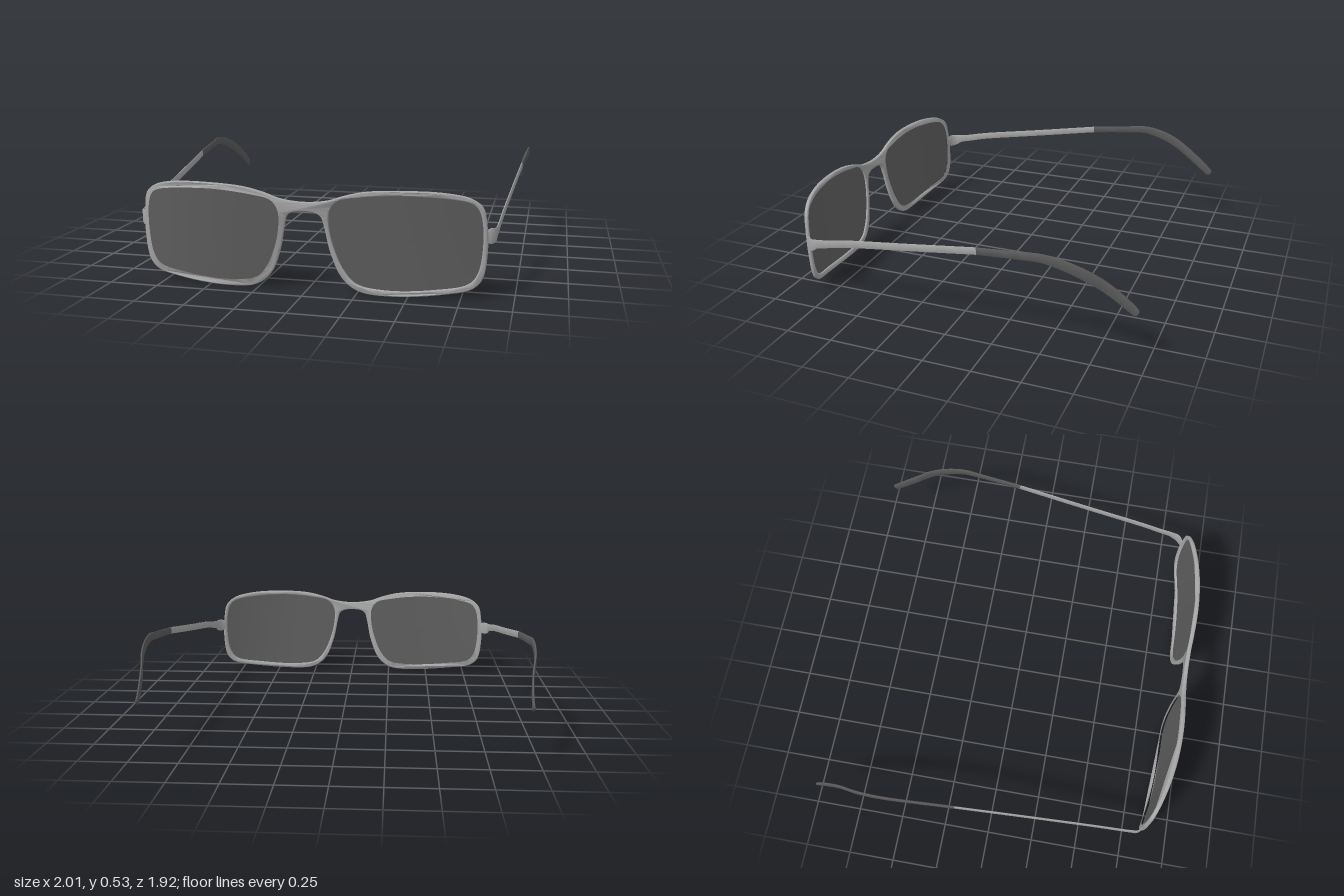
import * as THREE from 'three';
import { toCreasedNormals } from 'three/addons/utils/BufferGeometryUtils.js';

const mat = (name, color, side = THREE.FrontSide) => {
  const m = new THREE.MeshStandardMaterial({ color, side });
  m.name = name;
  return m;
};

// Right half of the frame outline, from top of bridge round to underside of bridge
const HALF = [[0, .455], [.12, .468], [.2, .495], [.31, .52], [.51, .53], [.68, .521], [.79, .495],
  [.845, .45], [.863, .37], [.87, .26], [.848, .1], [.8, .052], [.68, .026], [.42, .003], [.26, .018],
  [.18, .08], [.125, .21], [.1, .33], [.083, .385], [.05, .404], [0, .408]];
const LENS = [[.82, .447], [.785, .475], [.5, .506], [.26, .488], [.16, .463], [.124, .41], [.124, .315],
  [.15, .21], [.19, .12], [.25, .055], [.39, .032], [.63, .047], [.785, .078], [.826, .13], [.847, .26], [.84, .395]];

const smoothLoop = (pts, n) =>
  new THREE.CatmullRomCurve3(pts.map(([x, y]) => new THREE.Vector3(x, y, 0)), true, 'centripetal')
    .getPoints(n).slice(0, n).map(p => new THREE.Vector2(p.x, p.y));
const mirrorX = pts => pts.map(([x, y]) => [-x, y]);

// Wraps the flat front round the face and leans its lower edge back
function bend(geo) {
  const p = geo.attributes.position;
  for (let i = 0; i < p.count; i++) {
    const x = Math.abs(p.getX(i)), y = p.getY(i);
    const wrap = .335 * Math.max(0, x - .3) ** 2.2;
    const lean = .055 * (1 - .65 * (x / .87) ** 2) * (1 - y / .53);
    p.setZ(i, p.getZ(i) + .963 - wrap - lean);
  }
  return geo;
}

function frameGeometry() {
  const outline = [...HALF, ...mirrorX(HALF.slice(1, -1)).reverse()];
  const shape = new THREE.Shape(smoothLoop(outline, 240));
  for (const l of [LENS, mirrorX(LENS)]) shape.holes.push(new THREE.Path(smoothLoop(l, 112)));
  const b = .006;
  const geo = new THREE.ExtrudeGeometry(shape, {
    depth: .01, bevelSize: b, bevelThickness: b, bevelOffset: -b, bevelSegments: 3,
  });
  geo.translate(0, 0, -.016);
  return toCreasedNormals(bend(geo), .9);
}

// Lens sheet built from concentric rings
function lensGeometry(pts) {
  const loop = smoothLoop(pts, 96), n = loop.length, rings = 8, pos = [], idx = [];
  const c = new THREE.Vector2(Math.sign(pts[0][0]) * .49, .27);
  for (let r = 0; r <= rings; r++)
    for (const p of loop) {
      const q = c.clone().lerp(p, r / rings * 1.004);
      pos.push(q.x, q.y, -.011);
    }
  const flip = THREE.ShapeUtils.isClockWise(loop);
  for (let r = 0; r < rings; r++)
    for (let j = 0; j < n; j++) {
      const a = r * n + j, b = r * n + (j + 1) % n, d = a + n, e = b + n;
      idx.push(...(flip ? [a, e, d, a, b, e] : [a, d, e, a, e, b]));
    }
  const geo = new THREE.BufferGeometry();
  geo.setAttribute('position', new THREE.Float32BufferAttribute(pos, 3));
  geo.setIndex(idx);
  bend(geo).computeVertexNormals();
  return geo;
}

// Flat strip swept through stations [x, y, z, half height]
const SECTION = [[1, -.75], [1, .75], [.5, 1], [-.5, 1], [-1, .75], [-1, -.75], [-.5, -1], [.5, -1]];
function stripGeometry(stations, side, halfWidth, steps) {
  const path = new THREE.CatmullRomCurve3(stations.map(s => new THREE.Vector3(s[0] * side, s[1], s[2])), false, 'centripetal');
  const size = new THREE.CatmullRomCurve3(stations.map(s => new THREE.Vector3(s[3], 0, 0)), false, 'catmullrom', .3);
  const up = new THREE.Vector3(0, 1, 0), pos = [], idx = [], k = SECTION.length;
  for (let i = 0; i <= steps; i++) {
    const t = i / steps, p = path.getPoint(t), T = path.getTangent(t), h = size.getPoint(t).x;
    const W = up.clone().cross(T).normalize(), U = T.clone().cross(W);
    for (const [w, u] of SECTION)
      pos.push(...p.clone().addScaledVector(W, w * halfWidth).addScaledVector(U, u * h).toArray());
  }
  for (let i = 0; i < steps; i++)
    for (let j = 0; j < k; j++) {
      const a = i * k + j, b = i * k + (j + 1) % k;
      idx.push(a, b, b + k, a, b + k, a + k);
    }
  const e = steps * k;
  for (let j = 1; j < k - 1; j++) idx.push(0, j + 1, j, e, e + j, e + j + 1);
  const geo = new THREE.BufferGeometry();
  geo.setAttribute('position', new THREE.Float32BufferAttribute(pos, 3));
  geo.setIndex(idx);
  return toCreasedNormals(geo, .6);
}

const ARM = [[.86, .31, .842, .03], [.883, .31, .828, .038], [.899, .313, .808, .034], [.906, .325, .77, .024],
  [.911, .338, .7, .021], [.918, .36, .6, .02], [.946, .423, .2, .019], [.974, .482, -.17, .0185]];
const TIP = [[.974, .482, -.17, .0187], [.989, .503, -.38, .0195], [.997, .513, -.51, .0225], [.994, .492, -.62, .026],
  [.983, .458, -.71, .027], [.963, .406, -.8, .026], [.952, .344, -.885, .024], [.949, .297, -.943, .021], [.95, .289, -.953, .013]];

export function createModel() {
  const metal = mat('grey metal', 0xa6a6a6);
  const glass = mat('dark lens', 0x5e5e5e, THREE.DoubleSide);
  const rubber = mat('dark tip', 0x5a5a5a);
  const group = new THREE.Group();
  group.name = 'glasses';
  const add = (name, geo, m) => {
    const mesh = new THREE.Mesh(geo, m);
    mesh.name = name;
    group.add(mesh);
  };

  add('frontFrame', frameGeometry(), metal);
  for (const [label, side] of [['left', 1], ['right', -1]]) {
    add(label + 'Lens', lensGeometry(side > 0 ? LENS : mirrorX(LENS)), glass);
    add(label + 'Arm', stripGeometry(ARM, side, .004, 56), metal);
    add(label + 'EarTip', stripGeometry(TIP, side, .0055, 48), rubber);
  }
  return group;
}
